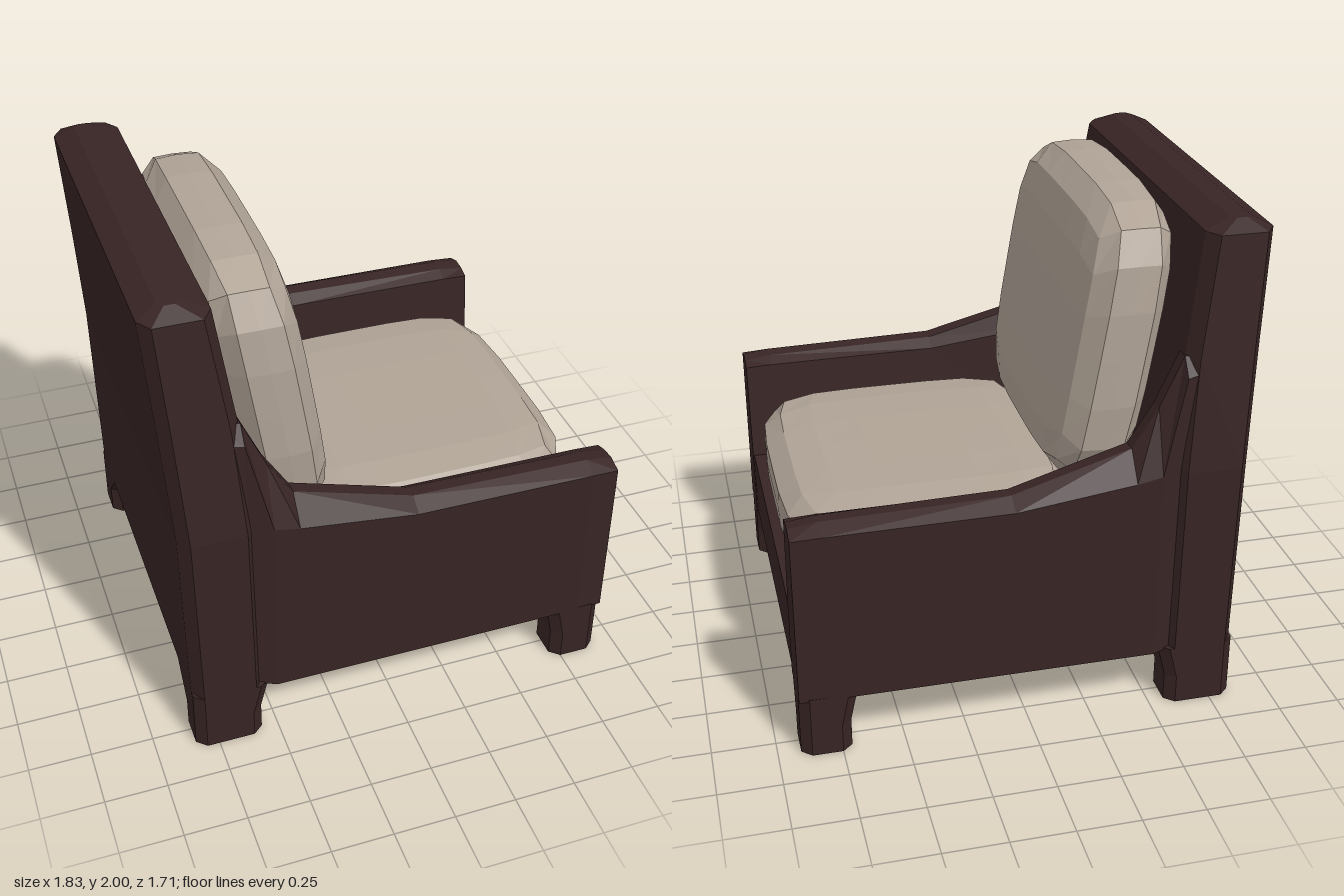
import * as THREE from 'three';

const wood = new THREE.MeshStandardMaterial({ color: 0x382424, flatShading: true });
wood.name = 'dark brown upholstery';
const fabric = new THREE.MeshStandardMaterial({ color: 0xb0a396, flatShading: true });
fabric.name = 'beige cushion';

// Solid through closed rings of [x, y, z] points, capped at both ends, faces turned outward.
function loft(rings) {
  const tris = [];
  const n = rings[0].length;
  for (let i = 0; i + 1 < rings.length; i++) {
    for (let j = 0; j < n; j++) {
      const k = (j + 1) % n;
      const a = rings[i][j], b = rings[i][k], c = rings[i + 1][k], d = rings[i + 1][j];
      tris.push([a, b, c], [a, c, d]);
    }
  }
  const cap = (ring, flip) => {
    const mid = [0, 1, 2].map((k) => ring.reduce((s, p) => s + p[k], 0) / n);
    ring.forEach((p, j) => {
      const q = ring[(j + 1) % n];
      tris.push(flip ? [mid, q, p] : [mid, p, q]);
    });
  };
  cap(rings[0], true);
  cap(rings[rings.length - 1], false);
  let volume = 0;
  const v = tris.map((t) => t.map((p) => new THREE.Vector3(...p)));
  v.forEach(([a, b, c]) => { volume += a.dot(b.clone().cross(c)); });
  if (volume < 0) v.forEach((t) => t.reverse());
  const geometry = new THREE.BufferGeometry().setFromPoints(v.flat());
  geometry.computeVertexNormals();
  return geometry;
}

// Level rectangle with cut corners.
function cutRect(x0, x1, z0, z1, y, cx, cz) {
  return [
    [x0 + cx, y, z0], [x1 - cx, y, z0], [x1, y, z0 + cz], [x1, y, z1 - cz],
    [x1 - cx, y, z1], [x0 + cx, y, z1], [x0, y, z1 - cz], [x0, y, z0 + cz],
  ];
}

// Rounded, faceted cushion: a box pulled onto a superellipsoid, then leaned.
function cushion(size, segments, power, lean) {
  const g = new THREE.BoxGeometry(2, 2, 2, ...segments);
  const p = g.attributes.position;
  for (let i = 0; i < p.count; i++) {
    const c = [p.getX(i), p.getY(i), p.getZ(i)];
    const r = c.reduce((s, v) => s + Math.abs(v) ** power, 0) ** (-1 / power);
    const y = c[1] * r * size[1];
    p.setXYZ(i, c[0] * r * size[0] - lean * y, y, c[2] * r * size[2]);
  }
  g.computeVertexNormals();
  return g;
}

export function createModel() {
  const group = new THREE.Group();
  const add = (name, geometry, material, x = 0, y = 0, z = 0) => {
    const mesh = new THREE.Mesh(geometry, material);
    mesh.name = name;
    mesh.position.set(x, y, z);
    group.add(mesh);
  };

  // Seat base and front rail
  add('seatBase', new THREE.BoxGeometry(1.72, 0.29, 1.6), wood, 0.045, 0.395, 0);

  // Tapered, leaning back: [y, rear x, front x, half width]
  const backRows = [
    [0.25, -0.84, -0.55, 0.857], [1.05, -0.855, -0.56, 0.855], [1.5, -0.885, -0.595, 0.815],
    [1.96, -0.92, -0.66, 0.775],
  ];
  const backRings = backRows.map(([y, x0, x1, w]) => cutRect(x0, x1, -w, w, y, 0.04, 0.06));
  backRings.push(cutRect(-0.84, -0.76, -0.71, 0.71, 2.0, 0.02, 0.03));
  add('backrest', loft(backRings), wood);

  // Arms that sweep up into the back: [x, outer edge y, ridge y, outer z, ridge z, inner z]
  const armRows = [
    [0.91, 0.96, 0.98, 0.853, 0.79, 0.68], [0.8, 0.965, 0.995, 0.857, 0.79, 0.68],
    [0.07, 0.97, 1.01, 0.857, 0.79, 0.68], [-0.4, 1.03, 1.14, 0.857, 0.77, 0.67],
    [-0.5, 1.05, 1.3, 0.857, 0.77, 0.67], [-0.59, 1.43, 1.5, 0.822, 0.77, 0.68],
    [-0.68, 1.45, 1.5, 0.815, 0.77, 0.68],
  ];
  // Legs: [name, outer x, inner x, inner x at top, inner z at top]
  const legs = [
    ['frontLeg', 0.91, 0.71, 0.68, 0.63],
    ['backLeg', -0.84, -0.565, -0.53, 0.54],
  ];
  for (const s of [1, -1]) {
    const side = s > 0 ? 'left' : 'right';
    const armRings = armRows.map(([x, edge, ridge, zo, zr, zi]) => [
      [x, 0.25, zo], [x, edge, zo], [x, ridge, zr], [x, ridge - 0.005, zr - 0.06],
      [x, edge, zi], [x, 0.55, 0.64], [x, 0.25, 0.64],
    ].map(([px, py, pz]) => [px, py, pz * s]));
    add(side + 'Arm', loft(armRings), wood);

    for (const [name, xo, xi, xt, zt] of legs) {
      const rings = [[0, xi, 0.67], [0.12, xi, 0.67], [0.26, xt, zt]].map(([y, x, z]) =>
        cutRect(Math.min(xo, x), Math.max(xo, x), z, 0.857, y, 0.04, 0.035)
          .map(([px, py, pz]) => [px, py, pz * s]));
      add(side + name[0].toUpperCase() + name.slice(1), loft(rings), wood);
    }
  }

  // Cushions
  add('seatCushion', cushion([0.59, 0.16, 0.625], [6, 4, 6], 5, 0), fabric, 0.295, 0.735, 0);
  add('backCushion', cushion([0.18, 0.58, 0.635], [4, 6, 6], 4.5, 0.16), fabric, -0.41, 1.415, 0.035);

  return group;
}
